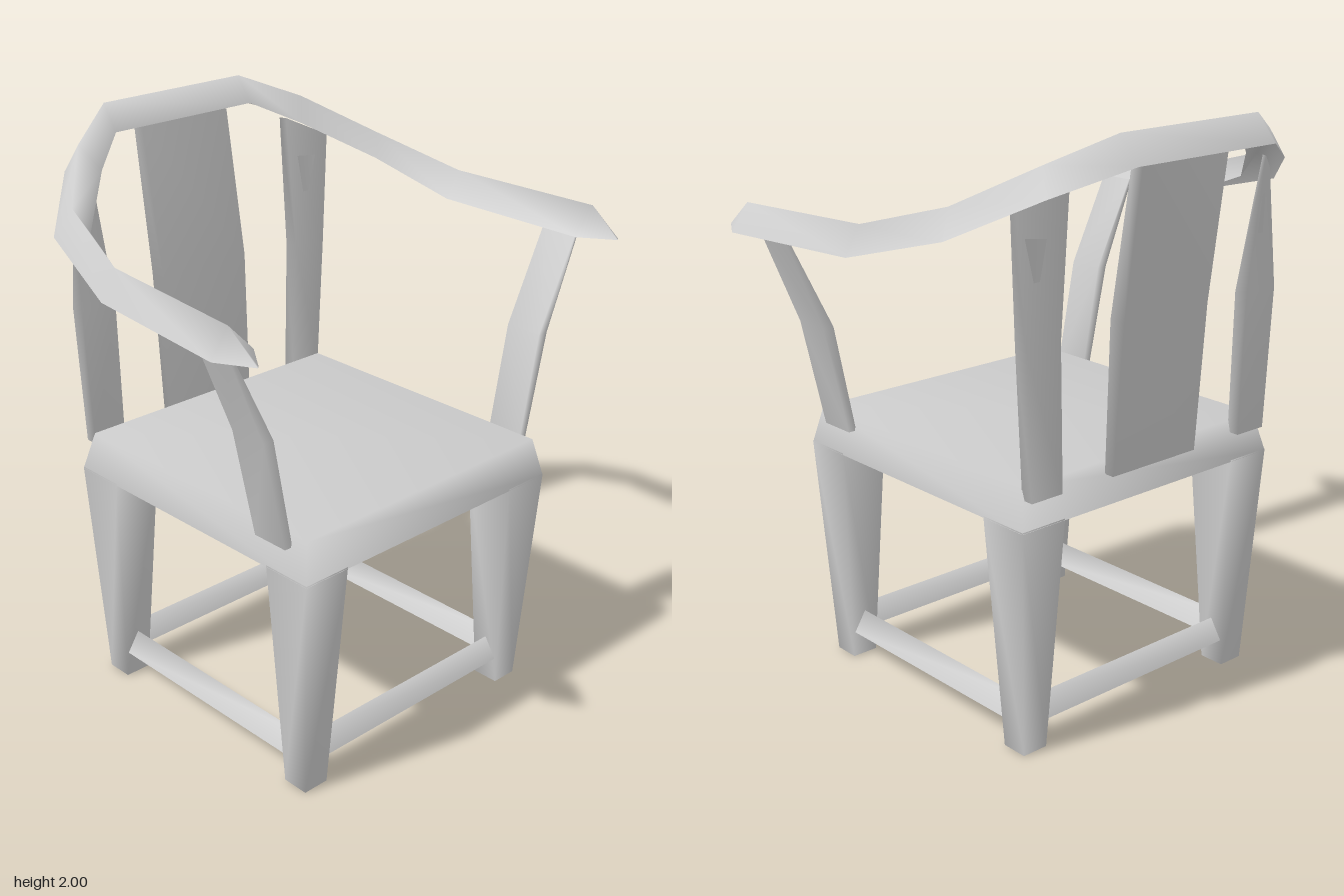
import * as THREE from 'three';

const grey = new THREE.MeshStandardMaterial({ color: 0xcccccc, side: THREE.DoubleSide });
grey.name = 'plain grey';

// Smooth-shaded skin over a list of equal-length rings of [x, y, z].
// closed: each ring joins up; capStart and capEnd: fill the first and last ring
function loft(name, rings, { closed = true, capStart = closed, capEnd = closed } = {}) {
  const n = rings[0].length;
  const pts = rings.flat().map((p) => new THREE.Vector3(...p));
  const index = [];
  for (let r = 0; r < rings.length - 1; r++) {
    for (let i = 0; i < (closed ? n : n - 1); i++) {
      const a = r * n + i, b = r * n + (i + 1) % n;
      index.push(a, b, b + n, a, b + n, a + n);
    }
  }
  const last = (rings.length - 1) * n;
  for (let i = 1; i < n - 1; i++) {
    if (capStart) index.push(0, i + 1, i);
    if (capEnd) index.push(last, last + i, last + i + 1);
  }
  // Turn the faces outwards whichever way the rings run
  let volume = 0;
  for (let i = 0; i < index.length; i += 3) {
    const [a, b, c] = [0, 1, 2].map((k) => pts[index[i + k]]);
    volume += a.dot(b.clone().cross(c));
  }
  if (volume < 0) index.reverse();
  const geometry = new THREE.BufferGeometry().setFromPoints(pts);
  geometry.setIndex(index);
  geometry.computeVertexNormals();
  const mesh = new THREE.Mesh(geometry, grey);
  mesh.name = name;
  return mesh;
}

// Horizontal rectangle at height y
const rect = (y, x0, x1, z0, z1) => [[x0, y, z0], [x1, y, z0], [x1, y, z1], [x0, y, z1]];
// Horizontal rectangle given by its centre and size
const slab = (x, y, z, w, d) => rect(y, x - w / 2, x + w / 2, z - d / 2, z + d / 2);
const mirror = (rings) => rings.map((ring) => ring.map(([x, y, z]) => [-x, y, z]));

export function createModel() {
  const chair = new THREE.Group();
  chair.name = 'armchair';

  // Seat: a shell with sloping edges, open underneath
  chair.add(loft('seat', [
    rect(0.795, -0.555, 0.555, -0.485, 0.63),
    rect(0.93, -0.525, 0.525, -0.45, 0.6),
  ], { capStart: false }));

  // Tapered legs
  const legs = {
    front: [rect(0, 0.42, 0.515, 0.49, 0.585), rect(0.8, 0.38, 0.555, 0.45, 0.63)],
    back: [rect(0, 0.42, 0.515, -0.44, -0.345), rect(0.8, 0.38, 0.555, -0.485, -0.3)],
  };
  for (const [key, rings] of Object.entries(legs)) {
    chair.add(loft(key + 'LegLeft', rings), loft(key + 'LegRight', mirror(rings)));
  }

  // Ridged stretchers joining the feet, open underneath
  const low = 0.095, high = 0.17, half = 0.043;
  for (const [key, z] of [['front', 0.537], ['back', -0.393]]) {
    chair.add(loft(key + 'Stretcher', [-0.44, 0.44].map(
      (x) => [[x, low, z - half], [x, high, z], [x, low, z + half]]), { closed: false }));
  }
  for (const [key, x] of [['Left', 0.467], ['Right', -0.467]]) {
    chair.add(loft('sideStretcher' + key, [-0.37, 0.51].map(
      (z) => [[x - half, low, z], [x, high, z], [x + half, low, z]]), { closed: false }));
  }

  // Central back splat leaning into the rail
  chair.add(loft('backSplat', [
    rect(0.89, -0.185, 0.185, -0.495, -0.458),
    rect(1.4, -0.185, 0.185, -0.535, -0.475),
    rect(1.91, -0.185, 0.185, -0.605, -0.56),
  ]));

  // Back posts, twisting at the top to follow the rail
  const backPost = [
    slab(0.462, 0.89, -0.472, 0.125, 0.045),
    slab(0.481, 1.38, -0.475, 0.137, 0.05),
    [[0.425, 1.84, -0.548], [0.55, 1.775, -0.46], [0.56, 1.775, -0.445], [0.435, 1.84, -0.525]],
  ];
  // Bowed arm posts
  const armPost = [
    slab(0.543, 0.89, 0.472, 0.03, 0.135),
    slab(0.622, 1.27, 0.472, 0.04, 0.135),
    slab(0.777, 1.61, 0.472, 0.012, 0.135),
  ];
  for (const [key, rings] of [['backPost', backPost], ['armPost', armPost]]) {
    chair.add(loft(key + 'Left', rings), loft(key + 'Right', mirror(rings)));
  }

  // Curved arm rail: outer edge, ridge and inner edge from the back to the tip
  const rail = [
    [[0.295, 1.912, -0.695], [0.295, 2.0, -0.62], [0.295, 1.912, -0.56]],
    [[0.515, 1.825, -0.55], [0.49, 1.915, -0.505], [0.44, 1.835, -0.45]],
    [[0.72, 1.7, -0.335], [0.67, 1.79, -0.3], [0.63, 1.71, -0.265]],
    [[0.81, 1.605, 0.02], [0.755, 1.7, 0.02], [0.705, 1.605, 0.015]],
    [[0.86, 1.598, 0.575], [0.797, 1.688, 0.575], [0.71, 1.598, 0.58]],
    [[0.793, 1.597, 0.69], [0.791, 1.602, 0.69], [0.789, 1.597, 0.69]],
  ];
  chair.add(loft('armRail', [...mirror(rail).reverse(), ...rail], { closed: false }));

  return chair;
}
